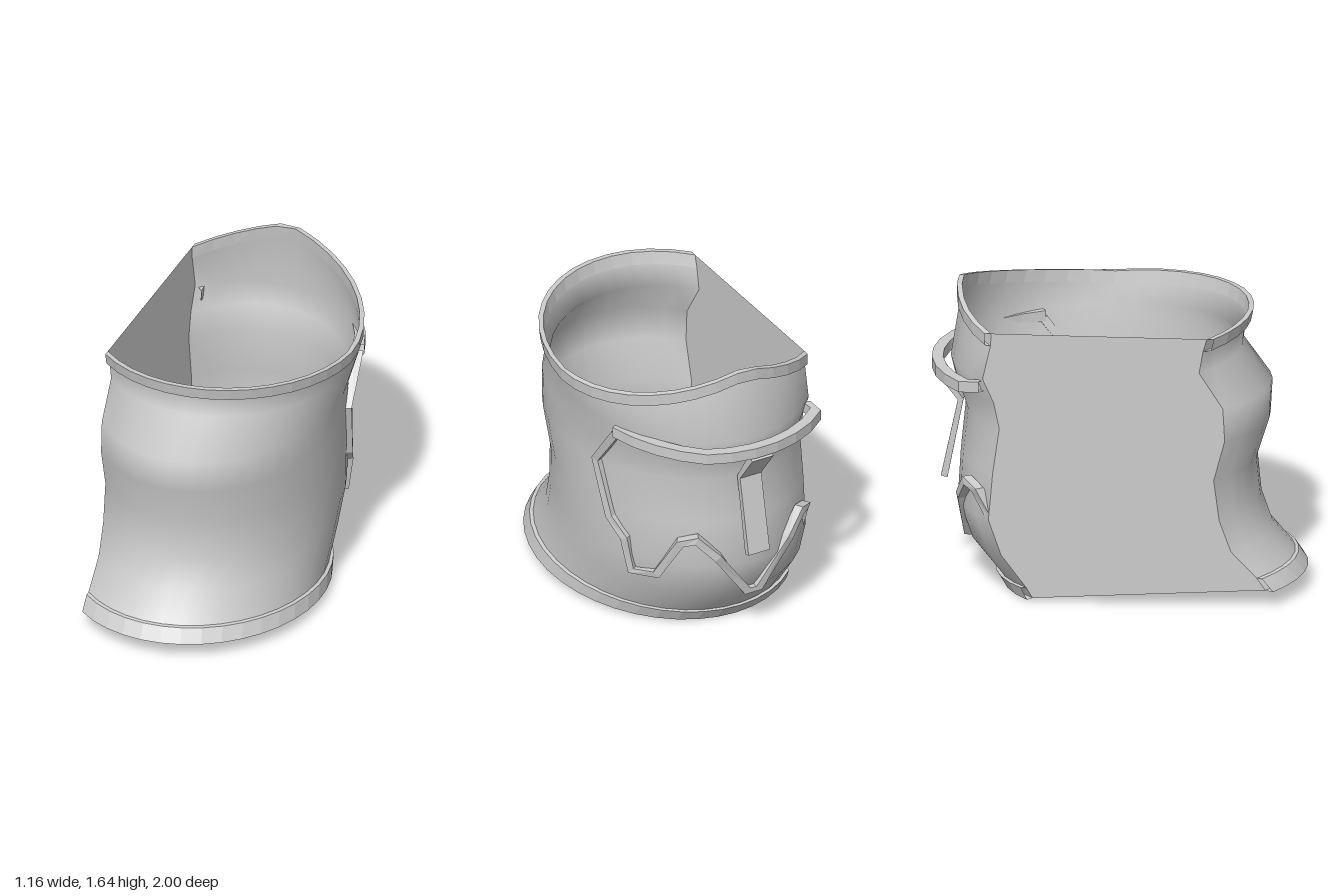
import * as THREE from 'three';

const CUT = -0.58; // flat side plane
const SEG = 28;

// Horizontal sections: front z, front y, back z, back y, greatest x
const bodyRows = [
  [0.97, 0.11, -0.6, 0.01, 0.475],
  [0.93, 0.18, -0.64, 0.065, 0.47],
  [0.81, 0.32, -0.79, 0.25, 0.465],
  [0.75, 0.49, -0.86, 0.45, 0.48],
  [0.728, 0.71, -0.845, 0.72, 0.485],
  [0.797, 0.93, -0.82, 0.98, 0.5],
  [0.807, 1.12, -0.87, 1.12, 0.5],
  [0.652, 1.33, -0.9, 1.24, 0.53],
  [0.665, 1.47, -0.85, 1.58, 0.545],
];

const axisX = y => -0.18 + 0.05 * Math.min(1, Math.max(0, y / 1.4));

// Point on a section; angle 0 is the front, 90 degrees is +x
function sectionPoint([zf, yf, zb, yb, xm], a, crest) {
  const xc = axisX((yf + yb) / 2), c = Math.cos(a);
  const x = xc + (xm - xc) * Math.sin(a);
  let y = (yf + yb) / 2 + (yf - yb) / 2 * c;
  if (crest !== undefined) {
    y = crest + (c > 0 ? 1.455 + 0.075 * c : 1.655 - 0.3 * Math.abs(x + 0.1));
  }
  return new THREE.Vector3(x, y, (zf + zb) / 2 + (zf - zb) / 2 * c);
}

// Section from the cut at the front round to the cut at the back
function sectionLine(row, crest) {
  const xc = axisX((row[1] + row[3]) / 2);
  const a0 = Math.asin((CUT - xc) / (row[4] - xc));
  return Array.from({ length: SEG + 1 }, (_, i) =>
    sectionPoint(row, a0 + (Math.PI - 2 * a0) * i / SEG, crest));
}

// Skin between lines of points
function loft(lines, flat) {
  const n = lines[0].length, index = [];
  for (let j = 0; j < lines.length - 1; j++) {
    for (let i = 0; i < n - 1; i++) {
      const a = j * n + i, b = a + 1, c = a + n, d = c + 1;
      index.push(a, b, d, a, d, c);
    }
  }
  let g = new THREE.BufferGeometry().setFromPoints(lines.flat());
  g.setIndex(index);
  if (flat) g = g.toNonIndexed();
  g.computeVertexNormals();
  return g;
}

// Point on the body by degrees from the back centre and height
function onBody(deg, y, off) {
  const a = Math.PI - THREE.MathUtils.degToRad(deg);
  const pts = bodyRows.map((r, i) => sectionPoint(r, a, i === 8 ? -0.07 : undefined));
  let i = 0;
  while (i < pts.length - 2 && pts[i + 1].y < y) i++;
  const p = pts[i].clone().lerp(pts[i + 1], (y - pts[i].y) / (pts[i + 1].y - pts[i].y));
  const n = new THREE.Vector3(Math.sin(a), 0, Math.cos(a));
  p.addScaledVector(n, off);
  p.x = Math.max(CUT, p.x);
  return { p, n };
}

// Raised rectangular trim along a path of [degrees, height, offset]
function trim(path, width, depth) {
  const pts = path.map(q => onBody(...q));
  const corners = [[], [], [], []];
  pts.forEach(({ p, n }, i) => {
    const prev = pts[Math.max(0, i - 1)].p, next = pts[Math.min(pts.length - 1, i + 1)].p;
    const side = n.clone().cross(next.clone().sub(prev)).normalize().multiplyScalar(width / 2);
    const inner = p.clone().addScaledVector(n, -depth);
    [inner.clone().sub(side), p.clone().sub(side), p.clone().add(side), inner.clone().add(side)]
      .forEach((v, k) => {
        v.x = Math.max(CUT, v.x);
        corners[k].push(v);
      });
  });
  return loft([...corners, corners[0]], true);
}

export function createModel() {
  const group = new THREE.Group();
  const grey = new THREE.MeshStandardMaterial({ color: 0xcccccc, side: THREE.DoubleSide });
  grey.name = 'plain grey';
  const add = (name, geometry) => {
    const mesh = new THREE.Mesh(geometry, grey);
    mesh.name = name;
    group.add(mesh);
  };

  // Curved shell and the flat wall that closes its cut side
  const lines = bodyRows.map((r, i) => sectionLine(r, i === 8 ? -0.07 : undefined));
  add('shell', loft(lines));
  const topRow = [0.68, 1.53, -0.84, 1.65, 0.555];
  const wallLines = [...lines, sectionLine(topRow, 0)].map(l => [l[SEG], l[0]]);
  add('sideWall', loft(wallLines, true));

  // Flared bands round both openings
  const band = rows => loft([...rows, rows[0]], true);
  add('bottomBand', band([
    sectionLine(bodyRows[0]),
    sectionLine([1.0, 0.1, -0.62, 0, 0.503]),
    sectionLine([0.95, 0.175, -0.66, 0.065, 0.49]),
    sectionLine([0.92, 0.18, -0.63, 0.07, 0.46]),
  ]));
  const topOuter = [0.708, 1.53, -0.868, 1.65, 0.58];
  add('topBand', band([
    sectionLine(bodyRows[8], -0.07),
    sectionLine([0.695, 1.47, -0.868, 1.58, 0.575], -0.065),
    sectionLine(topOuter, 0),
    sectionLine(topRow, 0),
  ]));

  // Brow over the face, standing further out towards the middle
  const brow = [];
  for (let d = 64; d >= -46; d -= 10) {
    const t = Math.min(1, (64 - d) / 40);
    brow.push([d, 1.235 - 0.03 * t, 0.035 + 0.075 * t]);
  }
  add('browBand', trim(brow, 0.06, 0.06));

  // Outline of the face opening, down one side and along the jaw
  add('faceOutline', trim([
    [63, 1.22, 0.035], [71, 0.98, 0.03], [67, 0.66, 0.03], [60, 0.56, 0.03],
    [56, 0.36, 0.03], [45, 0.38, 0.035], [35, 0.61, 0.05], [28, 0.64, 0.06],
    [19, 0.52, 0.04], [3, 0.25, 0.035], [-3, 0.25, 0.035], [-19, 0.52, 0.04],
    [-28, 0.64, 0.06], [-35, 0.61, 0.05], [-44, 0.4, 0.03],
  ], 0.045, 0.05));

  // Bent strip down the middle of the face
  const strip = new THREE.Shape([
    [-0.99, 1.155], [-0.86, 0.985], [-0.95, 0.555],
    [-0.915, 0.545], [-0.83, 0.99], [-0.95, 1.17],
  ].map(([z, y]) => new THREE.Vector2(z, y)));
  const stripGeometry = new THREE.ExtrudeGeometry(strip, { depth: 0.13, bevelEnabled: false });
  stripGeometry.rotateY(-Math.PI / 2).translate(-0.065, 0, 0);
  add('noseStrip', stripGeometry);

  return group;
}
